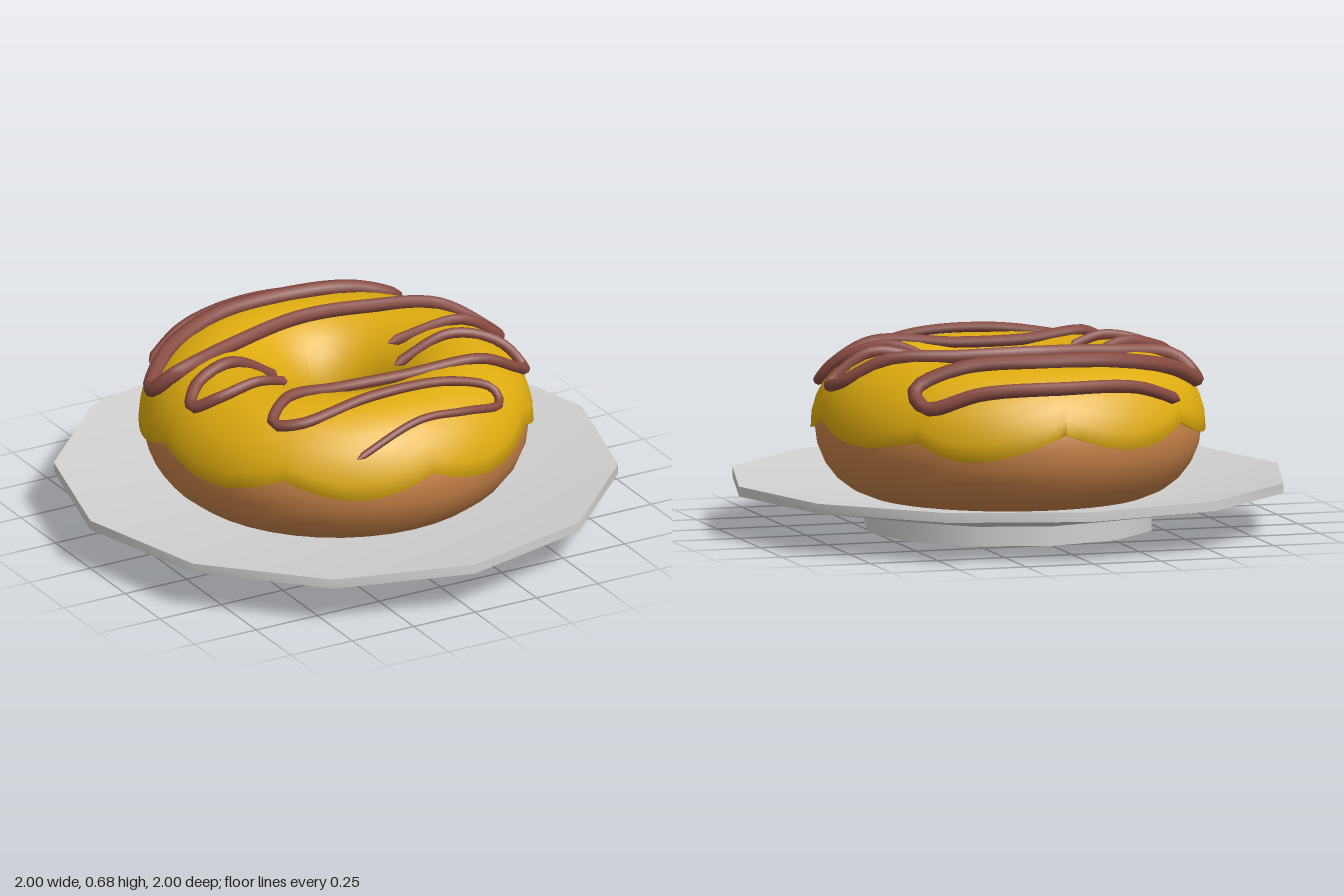
import * as THREE from 'three';
import { toCreasedNormals } from 'three/addons/utils/BufferGeometryUtils.js';

const RING = 0.435, MID = 0.37;   // ring radius and height of the doughnut

const plateGrey = new THREE.MeshStandardMaterial({ color: 0xd0d0d0, side: THREE.DoubleSide });
plateGrey.name = 'plateGrey';
const dough = new THREE.MeshStandardMaterial({ color: 0xc88248 });
dough.name = 'dough';
const yellowIcing = new THREE.MeshStandardMaterial({ color: 0xdeab0f, side: THREE.DoubleSide });
yellowIcing.name = 'yellowIcing';
const chocolate = new THREE.MeshStandardMaterial({ color: 0x864a40 });
chocolate.name = 'chocolate';

function add(parent, name, geometry, material) {
  const mesh = new THREE.Mesh(geometry, material);
  mesh.name = name;
  parent.add(mesh);
  return mesh;
}

// Icing shell: a sheet wrapped over the ring, with a scalloped outer edge
function icingGeometry() {
  const rows = 18;
  const geo = new THREE.PlaneGeometry(1, 1, 96, rows);
  const pos = geo.attributes.position, uv = geo.attributes.uv;
  for (let i = 0; i < pos.count; i++) {
    const theta = (uv.getX(i) * 2 - 1) * Math.PI;
    const row = Math.round(uv.getY(i) * rows);
    const drip = 0.045 * Math.exp(-(((theta - 2.5) / 0.3) ** 2));
    const edgeY = 0.42 - 0.068 * Math.abs(Math.sin(4 * theta)) - drip;
    const start = Math.asin((edgeY - MID) / 0.265);
    const end = Math.PI + 0.35;
    // the first and last rows tuck into the dough to form a lip
    const t = THREE.MathUtils.clamp((row - 1) / (rows - 2), 0, 1);
    const phi = start + (end - start) * t;
    const minor = row === 0 || row === rows ? 0.24 : 0.265;
    const r = RING + minor * Math.cos(phi);
    pos.setXYZ(i, r * Math.sin(theta), MID + minor * Math.sin(phi), r * Math.cos(theta));
  }
  geo.computeVertexNormals();
  return geo;
}

// Drizzle strand: [x, z] points dropped on the icing (or [x, z, y] where it bridges)
function strandGeometry(points, r0, r1, r2) {
  const curve = new THREE.CatmullRomCurve3(points.map(([x, z, y]) => {
    const d = Math.hypot(x, z) - RING;
    return new THREE.Vector3(x, y ?? MID + Math.sqrt(Math.max(0.28 ** 2 - d * d, 0.01)), z);
  }), false, 'centripetal');
  const steps = points.length * 6, sides = 8;
  const geo = new THREE.TubeGeometry(curve, steps, 1, sides, false);
  const pos = geo.attributes.position, v = new THREE.Vector3();
  for (let i = 0; i <= steps; i++) {
    const t = i / steps;
    const c = curve.getPointAt(t);
    // thickness changes along the strand, and the ends close
    let r = t < 0.5 ? THREE.MathUtils.lerp(r0, r1, t * 2) : THREE.MathUtils.lerp(r1, r2, t * 2 - 1);
    if (i === 0 || i === steps) r = 0;
    for (let j = 0; j <= sides; j++) {
      const k = i * (sides + 1) + j;
      v.fromBufferAttribute(pos, k).sub(c).multiplyScalar(r).add(c);
      pos.setXYZ(k, v.x, v.y, v.z);
    }
  }
  return geo;
}

export function createModel() {
  const model = new THREE.Group();
  model.name = 'doughnutOnPlate';

  // Shallow twelve-sided dish on an open foot ring
  const plate = new THREE.Group();
  plate.name = 'plate';
  model.add(plate);
  const profile = [[0, 0.07], [0.52, 0.07], [1, 0.15], [1, 0.185], [0.52, 0.11], [0, 0.11]]
    .map(([x, y]) => new THREE.Vector2(x, y));
  add(plate, 'dish', toCreasedNormals(new THREE.LatheGeometry(profile, 12), 0.6), plateGrey);
  add(plate, 'footRing', new THREE.CylinderGeometry(0.52, 0.52, 0.07, 12, 1, true), plateGrey)
    .position.y = 0.035;

  // Doughnut and icing
  const body = new THREE.TorusGeometry(RING, 0.25, 24, 40).rotateX(Math.PI / 2);
  add(model, 'doughnut', body, dough).position.y = 0.365;
  add(model, 'icing', icingGeometry(), yellowIcing);

  // Chocolate drizzle in three zigzag strands
  const drizzle = new THREE.Group();
  drizzle.name = 'drizzle';
  model.add(drizzle);
  add(drizzle, 'backStrand', strandGeometry([
    [-0.49, -0.48], [-0.3, -0.565], [0, -0.625], [0.28, -0.575], [0.46, -0.5], [0.48, -0.42],
    [0.3, -0.425], [0, -0.46], [-0.25, -0.44], [-0.5, -0.34], [-0.63, -0.21], [-0.57, -0.145],
    [-0.3, -0.2, 0.64], [0, -0.255, 0.655], [0.25, -0.23, 0.65], [0.5, -0.15], [0.65, -0.06],
    [0.66, 0.015], [0.5, 0.02], [0.23, -0.04, 0.585],
  ], 0.022, 0.031, 0.02), chocolate);
  add(drizzle, 'rightStrand', strandGeometry([
    [-0.2, -0.07], [-0.4, -0.05], [-0.57, 0], [-0.625, 0.07], [-0.55, 0.135], [-0.4, 0.145],
    [-0.27, 0.13],
  ], 0.021, 0.023, 0.018), chocolate);
  add(drizzle, 'frontStrand', strandGeometry([
    [0.19, 0.08, 0.555], [0.4, 0.12], [0.57, 0.18], [0.625, 0.25], [0.55, 0.32], [0.4, 0.335],
    [0.1, 0.3], [-0.15, 0.285], [-0.38, 0.31], [-0.47, 0.38], [-0.4, 0.44], [-0.1, 0.45],
    [0.2, 0.46], [0.36, 0.49], [0.36, 0.54], [0.2, 0.59], [0, 0.605], [-0.27, 0.625],
  ], 0.019, 0.021, 0.013), chocolate);

  return model;
}
